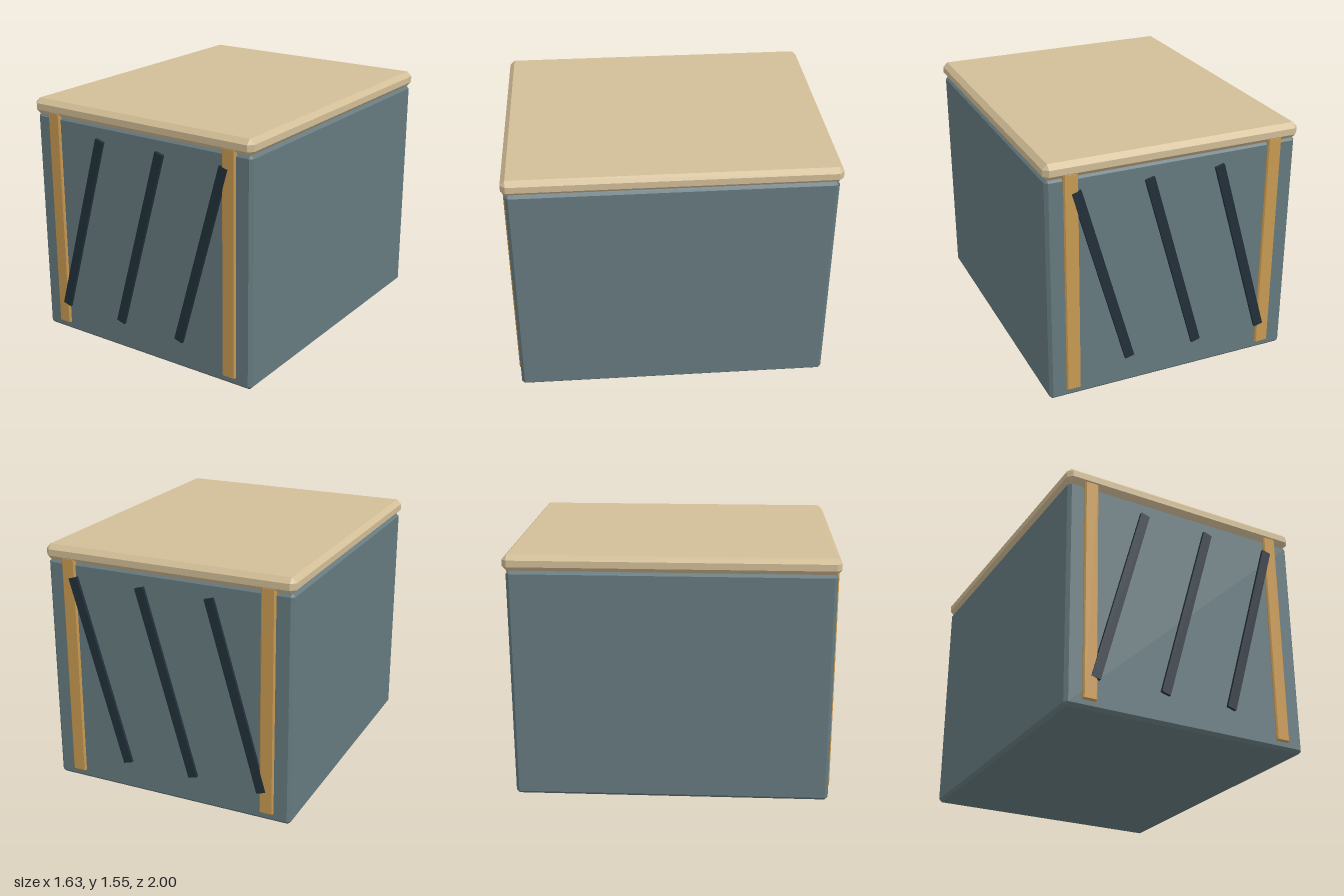
import * as THREE from 'three';
import { ConvexGeometry } from 'three/addons/geometries/ConvexGeometry.js';

const material = (color) => new THREE.MeshStandardMaterial({ color, flatShading: true });

// Box with flat chamfers: the hull of three points at each corner
function chamferBox(w, h, d, c) {
  const points = [];
  for (const x of [-1, 1]) for (const y of [-1, 1]) for (const z of [-1, 1]) {
    const X = x * w / 2, Y = y * h / 2, Z = z * d / 2;
    points.push(
      new THREE.Vector3(X, Y - y * c, Z - z * c),
      new THREE.Vector3(X - x * c, Y, Z - z * c),
      new THREE.Vector3(X - x * c, Y - y * c, Z));
  }
  return new ConvexGeometry(points);
}

export function createModel() {
  const group = new THREE.Group();
  const bodyMat = material(0x667a7f);
  const lidMat = material(0xd2be97);
  const postMat = material(0xc99a52);
  const stripeMat = material(0x22303a);

  function add(name, geometry, mat, x, y, z) {
    const mesh = new THREE.Mesh(geometry, mat);
    mesh.name = name;
    mesh.position.set(x, y, z);
    group.add(mesh);
    return mesh;
  }

  // Main block and overhanging top slab
  add('body', chamferBox(1.61, 1.455, 1.96, 0.02), bodyMat, 0, 0.7275, 0);
  add('topSlab', chamferBox(1.63, 0.1, 2, 0.03), lidMat, 0, 1.5, 0);

  // Posts and slanted stripes on both ends, leaning the same way in x
  const postGeo = chamferBox(0.09, 1.43, 0.04, 0.008);
  const stripeGeo = new THREE.BoxGeometry(0.06, 1.22, 0.04);
  for (const [end, s] of [['front', 1], ['back', -1]]) {
    for (const [side, x] of [['Left', 0.655], ['Right', -0.655]])
      add(end + side + 'Post', postGeo, postMat, x, 0.765, s * 0.975);
    [-0.455, 0, 0.455].forEach((x, i) => {
      const stripe = add(end + 'Stripe' + (i + 1), stripeGeo, stripeMat, x, 0.775, s * 0.979);
      stripe.rotation.z = -0.28;
    });
  }
  return group;
}
